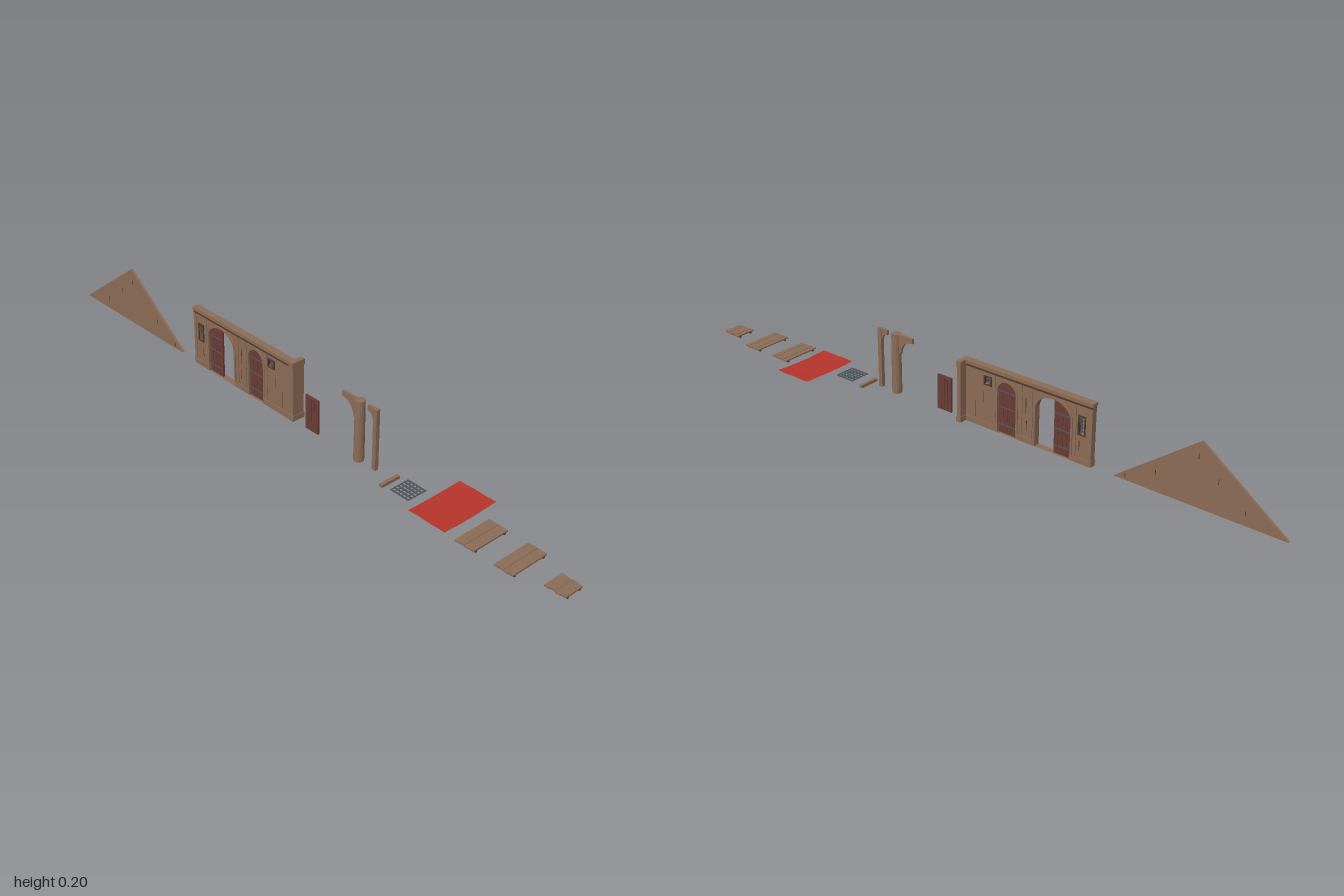
import * as THREE from 'three';

const mat = (color) => new THREE.MeshStandardMaterial({ color, flatShading: true, side: THREE.DoubleSide });
const wood = mat(0x8a6b55), dark = mat(0x4f3b2f), doorRed = mat(0x6b3c36), red = mat(0xb5342a), iron = mat(0x50565c);
const CX = -0.033; // shared centre plane of the upright pieces

function add(parent, name, geometry, material) {
  const m = new THREE.Mesh(geometry, material);
  m.name = name;
  parent.add(m);
  return m;
}

function group(parent, name) {
  const g = new THREE.Group();
  g.name = name;
  parent.add(g);
  return g;
}

// Box given by its limits on each axis
function box(parent, name, x0, x1, y0, y1, z0, z1, material = wood) {
  const g = new THREE.BoxGeometry(x1 - x0, y1 - y0, z1 - z0);
  g.translate((x0 + x1) / 2, (y0 + y1) / 2, (z0 + z1) / 2);
  return add(parent, name, g, material);
}

// Side profile (u = -z, y) extruded along x between x0 and x1
function slab(parent, name, shape, x0, x1, material = wood) {
  const g = new THREE.ExtrudeGeometry(shape, { depth: x1 - x0, bevelEnabled: false, curveSegments: 10 });
  g.rotateY(Math.PI / 2).translate(x0, 0, 0);
  return add(parent, name, g, material);
}

const poly = (pts) => new THREE.Shape(pts.map(([u, y]) => new THREE.Vector2(u, y)));
const rect = (u0, u1, y0, y1) => poly([[u0, y0], [u1, y0], [u1, y1], [u0, y1]]);

// Round-headed outline standing on y0
function arch(u0, u1, y0, top, rise = (u1 - u0) / 2) {
  const s = new THREE.Shape();
  const c = (u0 + u1) / 2, pts = [[u0, y0], [u1, y0]];
  for (let i = 0; i <= 14; i++) {
    const a = (i / 14) * Math.PI;
    pts.push([c + Math.cos(a) * (u1 - u0) / 2, top - rise + Math.sin(a) * rise]);
  }
  return s.setFromPoints(pts.map(([u, y]) => new THREE.Vector2(u, y)));
}

// Diagonal bars clipped to a window opening
function latticeWindow(parent, u, y, w, h, pitch) {
  const g = group(parent, 'latticeWindow');
  const frame = rect(u - w / 2 - 0.003, u + w / 2 + 0.003, y - h / 2 - 0.003, y + h / 2 + 0.003);
  frame.holes.push(rect(u - w / 2, u + w / 2, y - h / 2, y + h / 2));
  slab(g, 'windowFrame', frame, CX - 0.01, CX + 0.01, dark);
  const n = Math.ceil((w + h) / 2 / pitch);
  for (const s of [1, -1]) for (let i = -n; i <= n; i++) {
    const c = i * pitch;
    const a = Math.max(-w / 2, s > 0 ? -h / 2 - c : c - h / 2);
    const b = Math.min(w / 2, s > 0 ? h / 2 - c : c + h / 2);
    if (b - a < 0.001) continue;
    const t = (a + b) / 2;
    const bar = add(g, 'windowBar', new THREE.BoxGeometry(0.003, 0.0016, (b - a) * Math.SQRT2), iron);
    bar.position.set(CX, y + s * t + c, -(u + t));
    bar.rotation.x = s * Math.PI / 4;
  }
}

// Iron straps and plank seams on both faces of a door
function dressDoor(parent, z0, z1, y0, y1, half) {
  for (const f of [0.15, 0.5, 0.82]) {
    const y = y0 + (y1 - y0) * f;
    box(parent, 'doorStrap', CX - half - 0.001, CX + half + 0.001, y, y + 0.004, z0 + 0.002, z1 - 0.002, iron);
  }
  for (let i = 1; i < 4; i++) {
    const z = z0 + (z1 - z0) * i / 4;
    box(parent, 'doorSeam', CX - half - 0.0004, CX + half + 0.0004, y0 + 0.003, y0 + (y1 - y0) * 0.8, z - 0.0005, z + 0.0005, dark);
  }
}

function buildGable(root) {
  const g = group(root, 'gable');
  slab(g, 'gablePanel', poly([[0.495, 0.013], [1, 0.013], [0.745, 0.2]]), CX - 0.005, CX + 0.003);
  for (const [z, y, h] of [[-0.53, 0.02, 0.014], [-0.62, 0.06, 0.014], [-0.74, 0.15, 0.016], [-0.8, 0.1, 0.014], [-0.88, 0.04, 0.016]])
    box(g, 'crack', CX - 0.0055, CX + 0.0035, y, y + h, z - 0.001, z + 0.001, dark);
}

function buildWall(root) {
  const g = group(root, 'facadeWall');
  const panel = rect(-0.018, 0.425, 0.013, 0.198);
  const doorways = [[0.11, 0.174, 0.172, 0.032], [0.24, 0.357, 0.174, 0.045]];
  for (const [a, b, top, rise] of doorways) panel.holes.push(arch(a, b, 0.0132, top, rise));
  panel.holes.push(rect(0.064, 0.086, 0.147, 0.169), rect(0.383, 0.401, 0.1, 0.152));
  slab(g, 'wallPanel', panel, CX - 0.007, CX + 0.007);

  // Arched surrounds
  for (const [a, b, top, rise] of doorways) {
    const ring = arch(a - 0.006, b + 0.006, 0.013, top + 0.006, rise + 0.006);
    ring.holes.push(arch(a, b, 0.0132, top, rise));
    slab(g, 'archTrim', ring, CX - 0.01, CX + 0.01);
  }
  // Closed door, and one leaf of the double doorway
  slab(g, 'closedDoor', arch(0.11, 0.174, 0.013, 0.172, 0.032), CX - 0.003, CX + 0.003, doorRed);
  dressDoor(g, -0.174, -0.11, 0.014, 0.165, 0.003);
  const leaf = arch(0.24, 0.357, 0.013, 0.174, 0.045).getPoints().filter((p) => p.x > 0.298);
  leaf.push(new THREE.Vector2(0.3, 0.013));
  slab(g, 'openDoorLeaf', new THREE.Shape(leaf), CX - 0.003, CX + 0.003, doorRed);
  dressDoor(g, -0.357, -0.299, 0.014, 0.158, 0.003);

  // Cornice, plinth and pilasters
  box(g, 'cornice', CX - 0.011, CX + 0.011, 0.19, 0.2, -0.427, 0.018);
  box(g, 'frieze', CX - 0.009, CX + 0.009, 0.183, 0.19, -0.425, 0.018, dark);
  for (const [z0, z1] of [[-0.104, 0.018], [-0.234, -0.18], [-0.426, -0.363]])
    box(g, 'plinth', CX - 0.01, CX + 0.01, 0.013, 0.03, z0, z1);
  for (const z of [-0.42, -0.369, -0.225, -0.19, -0.098])
    box(g, 'pilaster', CX - 0.009, CX + 0.009, 0.013, 0.183, z - 0.005, z + 0.005);
  for (const [z, y, h] of [[-0.03, 0.035, 0.05], [-0.06, 0.09, 0.03], [-0.207, 0.1, 0.05], [-0.21, 0.05, 0.03], [-0.385, 0.05, 0.03]])
    box(g, 'crack', CX - 0.0075, CX + 0.0075, y, y + h, z - 0.001, z + 0.001, dark);

  // Short return at the corner
  box(g, 'returnWall', CX - 0.008, -0.002, 0.013, 0.198, 0.004, 0.017);
  box(g, 'returnCornice', CX - 0.011, 0, 0.183, 0.2, 0.002, 0.019);
  box(g, 'returnPlinth', CX - 0.011, 0, 0.013, 0.03, 0.002, 0.019);

  latticeWindow(g, 0.075, 0.158, 0.022, 0.022, 0.009);
  latticeWindow(g, 0.392, 0.126, 0.018, 0.052, 0.01);
}

// Curved bracket reaching from z0 towards -z
function bracket(parent, z0, reach, drop, half) {
  const s = new THREE.Shape();
  s.moveTo(-z0, 0.2);
  s.lineTo(-z0, 0.2 - drop);
  s.lineTo(-z0 + reach * 0.15, 0.2 - drop);
  s.quadraticCurveTo(-z0 + reach * 0.3, 0.185, -z0 + reach, 0.185);
  s.lineTo(-z0 + reach, 0.2);
  slab(parent, 'bracket', s, CX - half, CX + half);
}

function buildUprights(root) {
  const door = group(root, 'looseDoor');
  box(door, 'doorPanel', CX - 0.003, CX + 0.003, 0.013, 0.12, 0.062, 0.113, doorRed);
  for (const z of [0.075, 0.088, 0.1])
    box(door, 'doorSeam', CX - 0.0035, CX + 0.0035, 0.018, 0.115, z - 0.0005, z + 0.0005, dark);
  box(door, 'handle', CX - 0.005, CX + 0.005, 0.064, 0.07, 0.067, 0.07, iron);

  const column = group(root, 'column');
  const profile = [[0, 0.012], [0.0145, 0.012], [0.015, 0.02], [0.0148, 0.1], [0.0142, 0.19], [0.0142, 0.2], [0, 0.2]];
  const shaft = new THREE.LatheGeometry(profile.map(([r, y]) => new THREE.Vector2(r, y)), 14);
  add(column, 'shaft', shaft.translate(CX, 0, 0.273), wood);
  bracket(column, 0.262, 0.055, 0.06, 0.004);

  const post = group(root, 'post');
  box(post, 'postShaft', CX - 0.006, CX + 0.006, 0.013, 0.2, 0.328, 0.341);
  bracket(post, 0.329, 0.024, 0.035, 0.004);
}

// Flat platform made of planks on two battens
function buildPlatform(root, name, x0, x1, z0, z1, planks, stagger) {
  const g = group(root, name);
  const w = (z1 - z0) / planks;
  for (let i = 0; i < planks; i++) {
    const inset = (i % 2) * stagger;
    box(g, 'plank', x0 + inset, x1 - inset, 0.009, 0.013 + (i % 2) * 0.0007, z0 + i * w + 0.0003, z0 + (i + 1) * w - 0.0003);
  }
  for (const x of [x0 + 0.008, x1 - 0.014])
    box(g, 'batten', x, x + 0.006, 0.004, 0.009, z0 + 0.001, z1 - 0.001, dark);
}

function buildFlats(root) {
  box(root, 'beam', -0.066, 0, 0, 0.009, 0.385, 0.396);

  const grid = group(root, 'grille');
  for (let i = 0; i < 6; i++) {
    const x = -0.064 + i * 0.0124, z = 0.427 + i * 0.0124;
    box(grid, 'longBar', x - 0.002, x + 0.002, 0.01, 0.013, 0.425, 0.491, iron);
    box(grid, 'crossBar', -0.066, 0, 0.0105, 0.0125, z - 0.001, z + 0.001, iron);
  }

  // Gently rippled cloth
  const cloth = new THREE.PlaneGeometry(0.192, 0.125, 16, 8).rotateX(-Math.PI / 2);
  const p = cloth.attributes.position;
  for (let i = 0; i < p.count; i++) {
    const x = p.getX(i), z = p.getZ(i);
    p.setY(i, 0.0115 + 0.03 * Math.abs(x) ** 1.0 * Math.abs(x) / 0.096 + 0.0008 * Math.sin(z * 90 + x * 25));
  }
  cloth.computeVertexNormals();
  add(root, 'cloth', cloth.translate(-0.001, 0, 0.583), red);

  buildPlatform(root, 'longPlatform', -0.097, 0.03, 0.68, 0.743, 4, 0.001);
  buildPlatform(root, 'secondPlatform', -0.097, 0.03, 0.807, 0.867, 4, 0.001);
  buildPlatform(root, 'shortPlatform', -0.066, 0, 0.936, 1, 4, 0.003);
}

export function createModel() {
  const root = new THREE.Group();
  root.name = 'buildingKit';
  buildGable(root);
  buildWall(root);
  buildUprights(root);
  buildFlats(root);
  return root;
}
